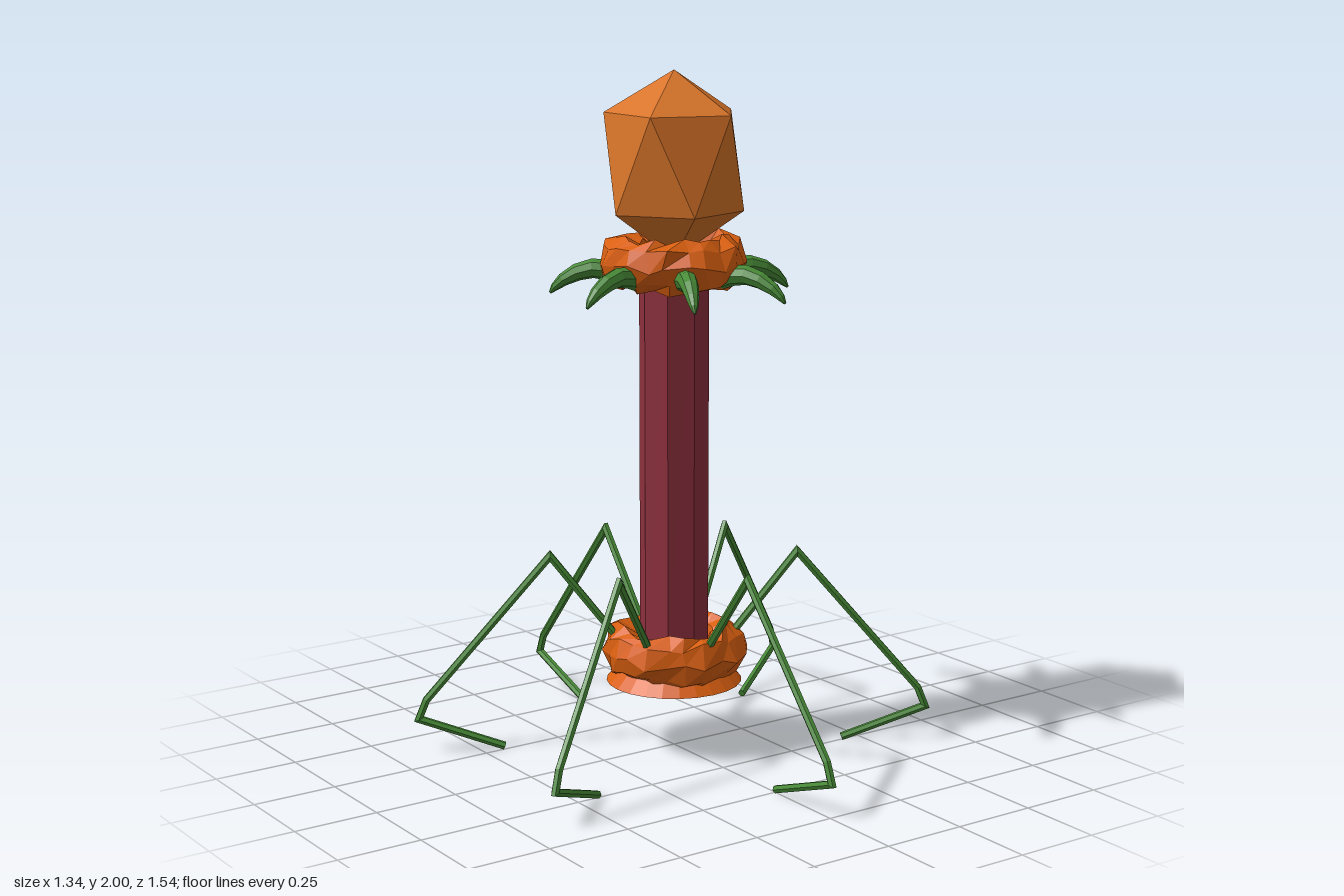
import * as THREE from 'three';
import { mergeVertices } from 'three/addons/utils/BufferGeometryUtils.js';
import { ConvexGeometry } from 'three/addons/geometries/ConvexGeometry.js';

function mat(name, color) {
  const m = new THREE.MeshStandardMaterial({ color });
  m.name = name;
  return m;
}

function faceted(geo) {
  const g = geo.index ? geo.toNonIndexed() : geo;
  g.computeVertexNormals();
  return g;
}

function seeded(seed) {
  let s = seed;
  return () => (s = (s * 16807) % 2147483647) / 2147483647;
}

// Sweeps an n-sided ring along mitred [z, y, radius] points, closed at both ends
function sweep(path, sides) {
  const pos = [], index = [];
  const pts = path.map(([z, y]) => new THREE.Vector2(z, y));
  const normals = pts.slice(1).map((p, i) => {
    const t = p.clone().sub(pts[i]).normalize();
    return new THREE.Vector2(-t.y, t.x);
  });
  pts.forEach((p, i) => {
    const a = normals[Math.max(i - 1, 0)];
    const b = normals[Math.min(i, normals.length - 1)];
    const n = a.clone().add(b).normalize();
    n.divideScalar(n.dot(a));
    const r = path[i][2];
    for (let j = 0; j < sides; j++) {
      const t = (j / sides) * Math.PI * 2;
      const s = Math.sin(t) * r;
      pos.push(Math.cos(t) * r, p.y + n.y * s, p.x + n.x * s);
    }
  });
  const last = (pts.length - 1) * sides;
  const c0 = pos.length / 3;
  pos.push(0, pts[0].y, pts[0].x, 0, pts.at(-1).y, pts.at(-1).x);
  for (let j = 0; j < sides; j++) {
    const k = (j + 1) % sides;
    for (let o = 0; o < last; o += sides) {
      index.push(o + j, o + k, o + sides + k, o + j, o + sides + k, o + sides + j);
    }
    index.push(c0, k, j, c0 + 1, last + j, last + k);
  }
  const g = new THREE.BufferGeometry();
  g.setAttribute('position', new THREE.Float32BufferAttribute(pos, 3));
  g.setIndex(index);
  return faceted(g);
}

// Lumpy low-poly ring lying flat
function lumpyRing(seed) {
  const rnd = seeded(seed);
  let g = new THREE.TorusGeometry(0.155, 0.055, 8, 22);
  g.rotateX(Math.PI / 2);
  g.scale(1, 1.3, 1);
  g.deleteAttribute('normal');
  g.deleteAttribute('uv');
  g = mergeVertices(g, 1e-4);
  const p = g.attributes.position;
  for (let i = 0; i < p.count; i++) {
    const j = () => (rnd() - 0.5) * 0.024;
    p.setXYZ(i, p.getX(i) + j(), p.getY(i) + j(), p.getZ(i) + j());
  }
  return faceted(g);
}

export function createModel() {
  const model = new THREE.Group();
  const headMat = mat('amber', 0xd87428);
  const ringMat = mat('orange', 0xd95f10);
  const tailMat = mat('maroon', 0x8c2f3c);
  const greenMat = mat('green', 0x478a36);

  const add = (name, geo, material, y = 0, turn = 0) => {
    const m = new THREE.Mesh(geo, material);
    m.name = name;
    m.position.y = y;
    m.rotation.y = turn;
    model.add(m);
  };

  // Stretched icosahedral head
  const corners = [new THREE.Vector3(0, 2, 0), new THREE.Vector3(0, 1.46, 0)];
  for (let i = 0; i < 10; i++) {
    const a = (i * Math.PI) / 5;
    corners.push(new THREE.Vector3(Math.cos(a) * 0.2, i % 2 ? 1.6 : 1.88, Math.sin(a) * 0.2));
  }
  add('head', new ConvexGeometry(corners), headMat);

  // Collar, tail and base
  add('collar', lumpyRing(11), ringMat, 1.455);
  add('tail', faceted(new THREE.CylinderGeometry(0.102, 0.102, 1.24, 8)), tailMat, 0.86);
  add('baseRing', lumpyRing(77), ringMat, 0.302);
  add('basePlate', faceted(new THREE.CylinderGeometry(0.165, 0.2, 0.04, 24)), ringMat, 0.228);

  // Seven curved horns around the collar
  const horn = sweep([
    [0.15, 1.41, 0.026], [0.19, 1.428, 0.03], [0.235, 1.432, 0.028],
    [0.28, 1.42, 0.025], [0.32, 1.398, 0.019], [0.345, 1.376, 0.012], [0.358, 1.36, 0.004],
  ], 8);
  for (let i = 0; i < 7; i++) {
    add('horn', horn, greenMat, 0, Math.PI + (i * Math.PI * 2) / 7);
  }

  // Six jointed legs
  const leg = sweep([
    [0.13, 0.29, 0.012], [0.364, 0.59, 0.012], [0.732, 0.16, 0.012],
    [0.755, 0.102, 0.012], [0.503, 0.012, 0.012],
  ], 6);
  for (let i = 0; i < 6; i++) {
    add('leg', leg, greenMat, 0, (i * Math.PI) / 3);
  }
  return model;
}
